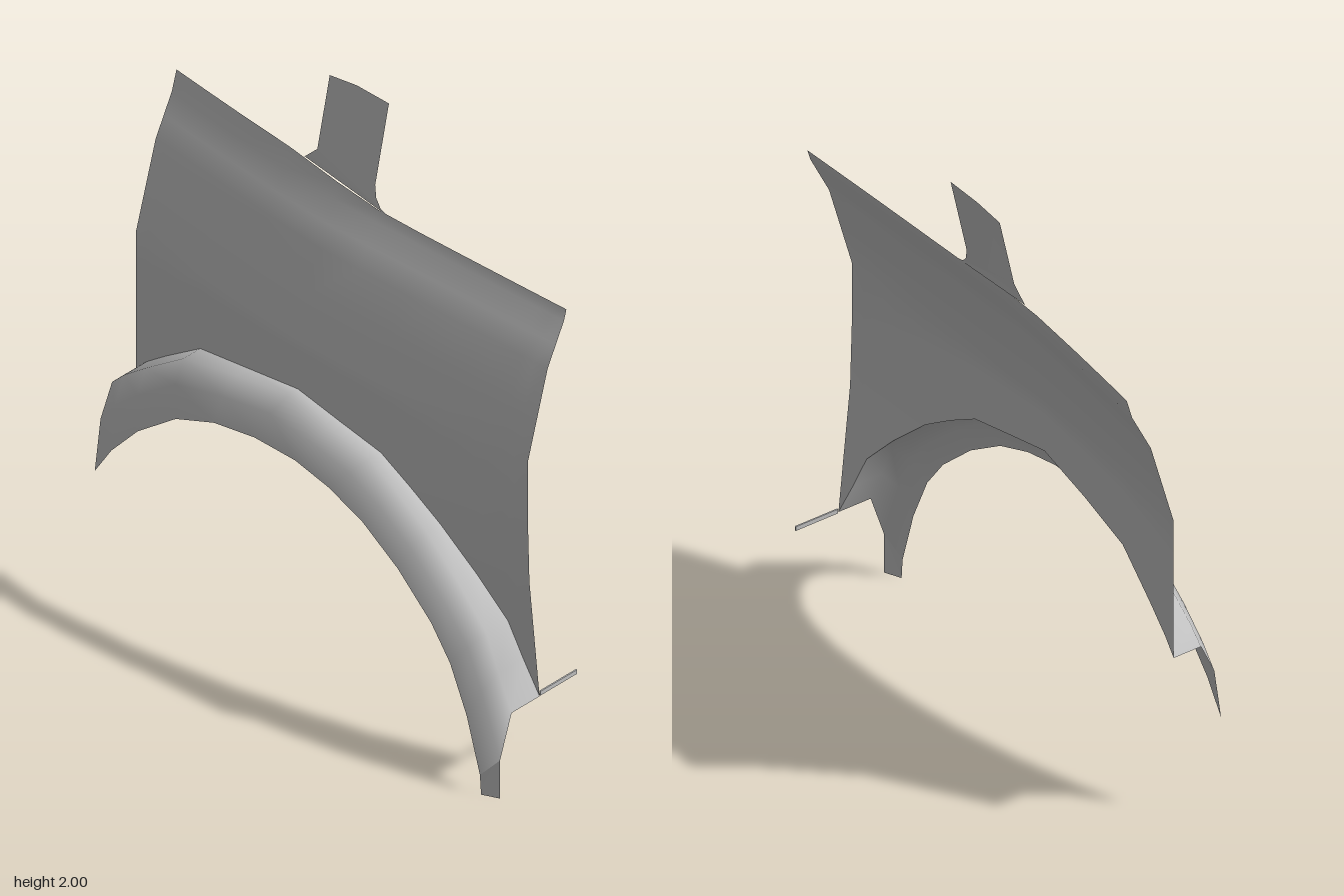
import * as THREE from 'three';

// Wheel arch stations, front to rear: crease z, crease y, lip z, lip y
const stations = [
  [0.835, 0.29, 0.775, 0.07], [0.78, 0.41, 0.72, 0.26], [0.73, 0.53, 0.65, 0.42],
  [0.62, 0.65, 0.57, 0.53], [0.48, 0.78, 0.43, 0.66], [0.36, 0.86, 0.28, 0.76],
  [0.24, 0.93, 0.14, 0.815], [0.07, 0.965, 0, 0.845], [-0.1, 1.0, -0.17, 0.845],
  [-0.32, 0.96, -0.34, 0.815], [-0.54, 0.915, -0.5, 0.75], [-0.7, 0.8, -0.66, 0.625],
  [-0.79, 0.73, -0.77, 0.5], [-0.84, 0.68, -0.84, 0.39],
];

// Upright section of the panel at its outermost point: y, x
const section = [[0, -0.065], [1.18, -0.065], [1.48, 0.02], [1.62, 0.09], [1.69, 0.11], [2, 0.178]];

function sectionX(y) {
  let k = 0;
  while (k < section.length - 2 && y > section[k + 1][0]) k++;
  const [y0, x0] = section[k], [y1, x1] = section[k + 1];
  return x0 + (x1 - x0) * (y - y0) / (y1 - y0);
}

// The panel bows inboard toward both ends, and leans in at its low front corner
function panelX(z, y) {
  const d = z + 0.1;
  const bow = d < 0 ? 0.062 * Math.pow(-d / 0.74, 1.3) : 0.03 * Math.pow(d / 0.93, 1.3);
  const lean = z > 0 ? Math.max(0, 0.8 - y) * 0.05 / 0.51 : 0;
  return sectionX(y) + bow + lean;
}

const topY = (z) => THREE.MathUtils.mapLinear(THREE.MathUtils.clamp(z, -0.25, 0.09), -0.25, 0.09, 1.69, 1.657);

// Surface through rows of points
function loft(rows, flip) {
  const n = rows[0].length, index = [];
  for (let i = 0; i < rows.length - 1; i++) {
    for (let j = 0; j < n - 1; j++) {
      const a = i * n + j, b = a + n, c = a + 1, d = b + 1;
      if (flip) index.push(a, c, b, b, c, d);
      else index.push(a, b, c, b, d, c);
    }
  }
  const geo = new THREE.BufferGeometry();
  geo.setAttribute('position', new THREE.Float32BufferAttribute(rows.flat(2), 3));
  geo.setIndex(index);
  geo.computeVertexNormals();
  return geo;
}

export function createModel() {
  const group = new THREE.Group();
  const grey = new THREE.MeshStandardMaterial({ color: 0xc0c0c0, side: THREE.DoubleSide });
  grey.name = 'panel grey';
  const add = (name, geo) => {
    const mesh = new THREE.Mesh(geo, grey);
    mesh.name = name;
    group.add(mesh);
  };

  // Side panel, from the arch crease up to the top edge
  add('sidePanel', loft(stations.map(([z, y]) => {
    const ys = [0, 0.25, 0.5, 0.75, 1].map((t) => y + (1.18 - y) * t);
    ys.push(1.33, 1.48, 1.55, 1.62, topY(z));
    return ys.map((v) => [panelX(z, v), v, z]);
  }), true));

  // Arch flare: a flat ledge, a rounded shoulder, then the lip
  const flareRows = stations.map(([cz, cy, lz, ly], i) => {
    const shoulder = i === 0 ? [-0.155, 0.14, 0.835]
      : [-0.155, cy + (ly - cy) * 0.38, cz + (lz - cz) * 0.38];
    return [[panelX(cz, cy), cy, cz], [-0.105, cy, cz], shoulder, [-0.18, ly, lz]];
  });
  add('archFlare', loft(flareRows, false));

  // Narrow foot at the front end of the flare
  add('flareFoot', loft([
    [[-0.155, 0, 0.835], [-0.18, 0, 0.78]],
    flareRows[0].slice(2),
  ], false));

  // Upright tab with filleted roots, laid on the leaning plane of the top edge
  const outline = new THREE.Shape([
    [0.11, 1.656], [0.08, 1.665], [0.055, 1.69], [0.045, 1.73], [0.045, 2], [-0.09, 2],
    [-0.2, 1.985], [-0.2, 1.74], [-0.25, 1.69],
  ].map(([z, y]) => new THREE.Vector2(z, y)));
  const tab = new THREE.ShapeGeometry(outline);
  const p = tab.attributes.position;
  for (let i = 0; i < p.count; i++) {
    const z = p.getX(i), y = p.getY(i);
    p.setXYZ(i, y > 1.7 ? sectionX(y) : panelX(z, y), y, z);
  }
  tab.computeVertexNormals();
  add('topTab', tab);

  // Thin bracket pointing inboard at the low front corner
  const bracket = new THREE.BoxGeometry(0.158, 0.015, 0.005);
  bracket.translate(0.099, 0.298, 0.832);
  add('frontBracket', bracket);

  return group;
}
